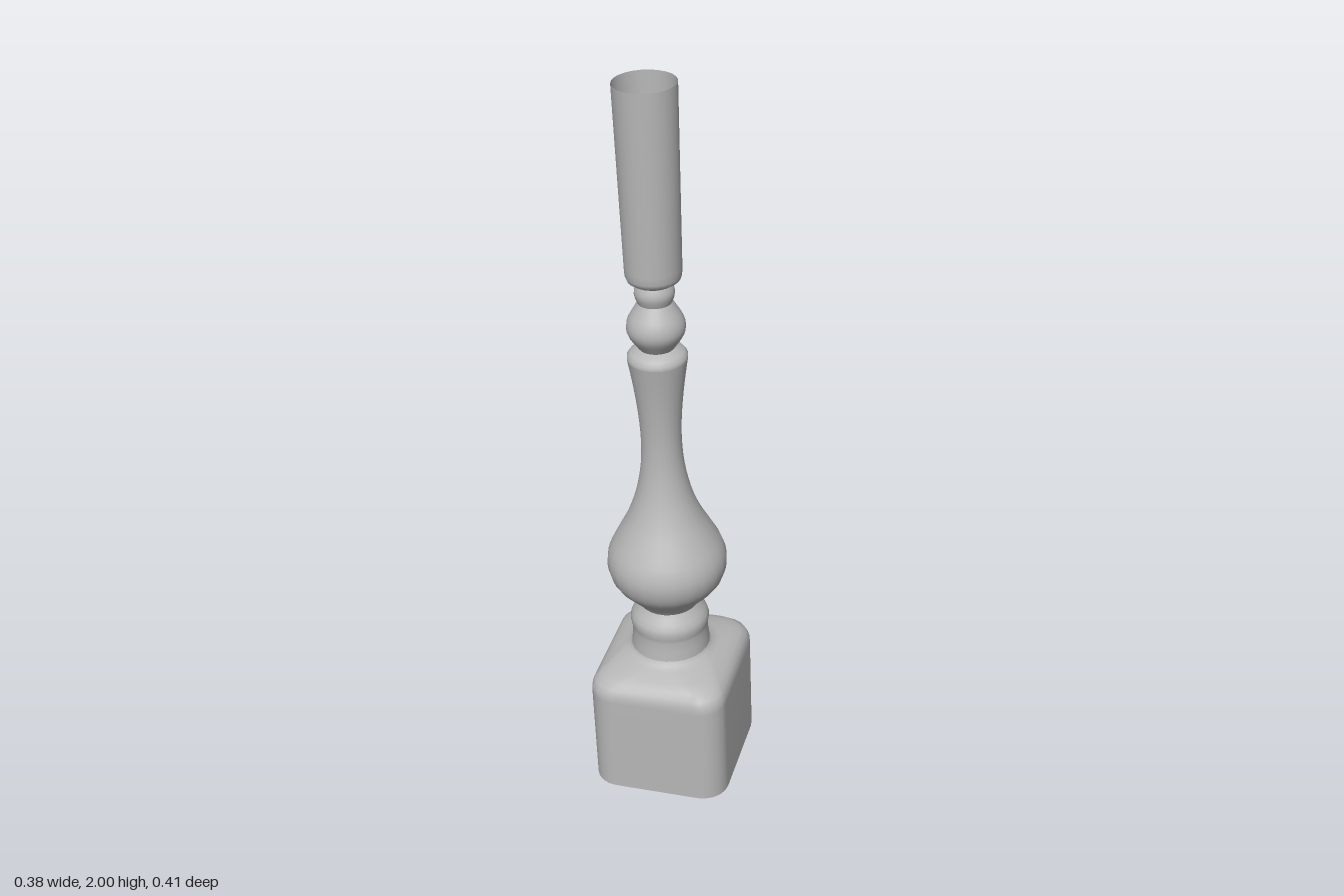
import * as THREE from 'three';

const SEGMENTS = 24;
const stone = new THREE.MeshStandardMaterial({ color: 0xb8b8b8, side: THREE.DoubleSide });
stone.name = 'grey stone';

// One cross-section: a circle, or a rounded rectangle with half sizes a, b and corner radius c
function ringPoint(ring, k) {
  const [y, a, b = a, c = a] = ring;
  const per = SEGMENTS / 4;
  const quadrant = Math.floor(k / per);
  const step = k % per;
  const round = a === c && b === c;
  const angle = quadrant * Math.PI / 2 + (round ? (step + 0.5) / per : step / (per - 1)) * Math.PI / 2;
  const sx = quadrant === 0 || quadrant === 3 ? 1 : -1;
  const sz = quadrant < 2 ? 1 : -1;
  return [sx * (a - c) + c * Math.cos(angle), y, sz * (b - c) + c * Math.sin(angle)];
}

// Open shell lofted through the rings, listed from bottom to top
function loft(name, rings) {
  const positions = [];
  const indices = [];
  rings.forEach((ring, j) => {
    for (let k = 0; k < SEGMENTS; k++) {
      positions.push(...ringPoint(ring, k));
      if (j === rings.length - 1) continue;
      const p = j * SEGMENTS + k;
      const q = j * SEGMENTS + (k + 1) % SEGMENTS;
      indices.push(p, p + SEGMENTS, q, q, p + SEGMENTS, q + SEGMENTS);
    }
  });
  const geometry = new THREE.BufferGeometry();
  geometry.setAttribute('position', new THREE.Float32BufferAttribute(positions, 3));
  geometry.setIndex(indices);
  geometry.computeVertexNormals();
  const mesh = new THREE.Mesh(geometry, stone);
  mesh.name = name;
  return mesh;
}

// Smooths a list of [height, radius] points into more rings
function smooth(points, count) {
  return new THREE.SplineCurve(points.map(([y, r]) => new THREE.Vector2(r, y)))
    .getPoints(count).map((p) => [p.y, p.x]);
}

export function createModel() {
  const model = new THREE.Group();
  model.name = 'baluster';
  const shaft = new THREE.Group();
  shaft.name = 'leaningBaluster';

  shaft.add(
    // Square foot, open underneath, with a sloping shoulder up to the collar
    loft('squareFoot', [
      [0, 0.187, 0.202, 0.07],
      [0.29, 0.187, 0.202, 0.07],
      [0.31, 0.186, 0.201, 0.07],
      [0.328, 0.179, 0.194, 0.07],
      [0.342, 0.165, 0.18, 0.07],
      [0.353, 0.146, 0.158, 0.08],
      [0.364, 0.125, 0.129, 0.1],
      [0.372, 0.113],
      [0.382, 0.107],
    ]),
    loft('collar', [
      [0.382, 0.107], [0.41, 0.104], [0.436, 0.102], [0.448, 0.104],
      [0.464, 0.107], [0.478, 0.104], [0.492, 0.096], [0.505, 0.086], [0.517, 0.079],
    ]),
    // Vase-shaped body
    loft('vaseBody', smooth([
      [0.517, 0.079], [0.535, 0.092], [0.565, 0.121], [0.6, 0.148], [0.645, 0.16],
      [0.69, 0.153], [0.74, 0.128], [0.8, 0.097], [0.87, 0.072], [0.95, 0.057],
      [1.03, 0.053], [1.11, 0.057], [1.19, 0.066], [1.262, 0.077],
    ], 39)),
    loft('vaseLip', [[1.262, 0.077], [1.272, 0.077], [1.282, 0.069], [1.289, 0.056], [1.294, 0.046]]),
    loft('ball', smooth([
      [1.294, 0.046], [1.31, 0.057], [1.33, 0.07], [1.351, 0.075],
      [1.375, 0.07], [1.398, 0.057], [1.42, 0.044],
    ], 12)),
    loft('neckBead', smooth([[1.42, 0.044], [1.434, 0.049], [1.446, 0.051], [1.458, 0.049], [1.47, 0.044]], 8)),
    // Hollow upper post, open at the top
    loft('upperPost', [
      [1.47, 0.044], [1.477, 0.057], [1.484, 0.067], [1.495, 0.071], [1.515, 0.072], [1.988, 0.079],
    ]),
  );

  // The whole baluster leans slightly
  shaft.rotation.set(0.015, 0, 0.035);
  shaft.position.set(0.004, 0.0095, -0.003);
  model.add(shaft);
  return model;
}
